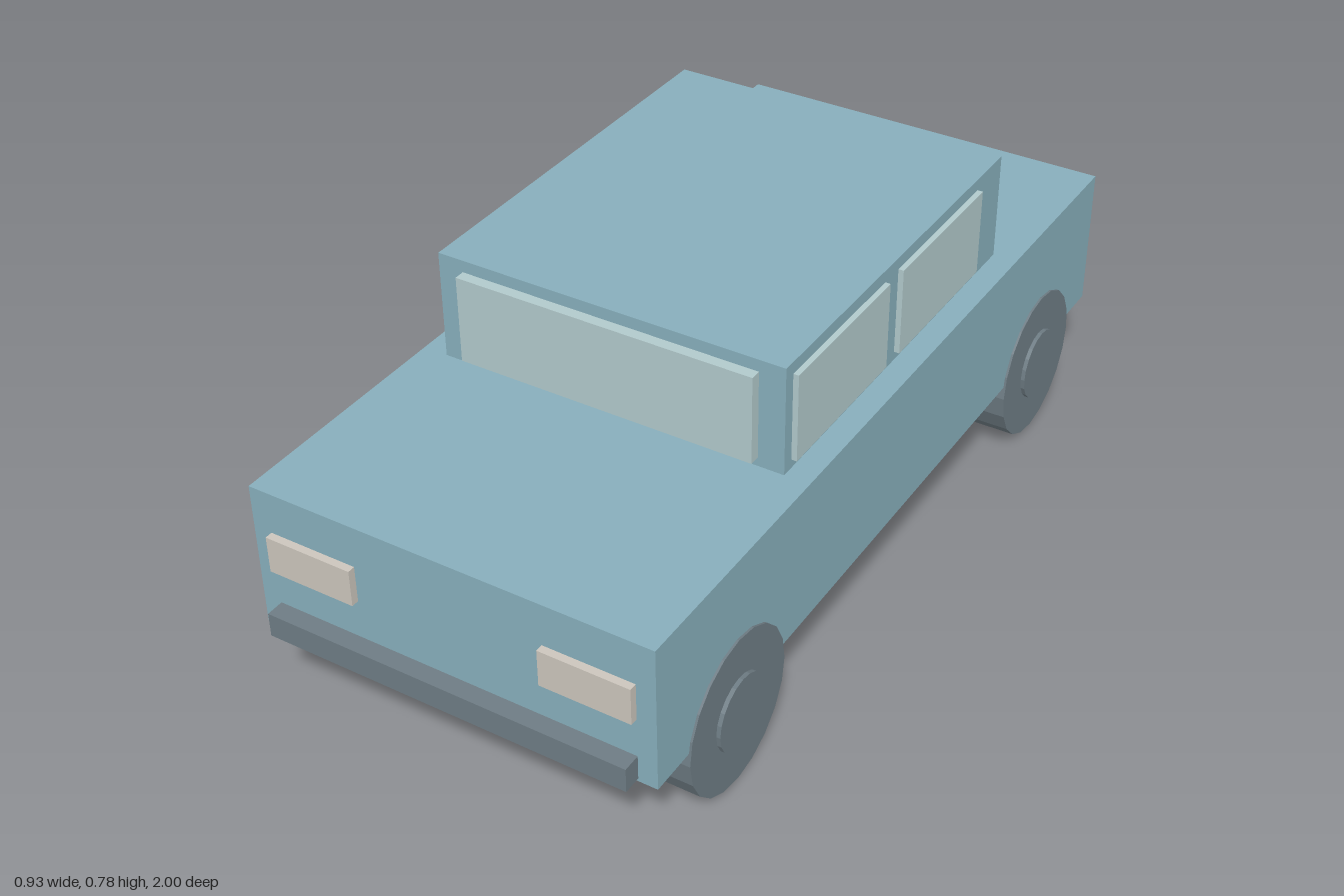
import * as THREE from 'three';

const paint = (name, color) => {
  const m = new THREE.MeshStandardMaterial({ color });
  m.name = name;
  return m;
};

export function createModel() {
  const car = new THREE.Group();
  car.name = 'car';
  const bodyBlue = paint('body blue', 0x87aebb);
  const glass = paint('pale glass', 0xb1c9cb);
  const rubber = paint('dark grey', 0x6e7c84);
  const lamp = paint('headlight cream', 0xcbc5bc);
  const red = paint('tail light red', 0xc97f79);

  // Box given by its low and high limits on each axis
  const block = (name, material, [x0, x1], [y0, y1], [z0, z1]) => {
    const mesh = new THREE.Mesh(new THREE.BoxGeometry(x1 - x0, y1 - y0, z1 - z0), material);
    mesh.position.set((x0 + x1) / 2, (y0 + y1) / 2, (z0 + z1) / 2);
    mesh.name = name;
    car.add(mesh);
  };
  const mirrored = (side, a, b) => (side > 0 ? [a, b] : [-b, -a]);

  // Lower body, cabin and windscreen
  block('body', bodyBlue, [-0.453, 0.453], [0.205, 0.535], [-0.96, 0.96]);
  block('cabin', bodyBlue, [-0.397, 0.397], [0.535, 0.78], [-0.522, 0.412]);
  block('windscreen', glass, [-0.339, 0.339], [0.555, 0.753], [0.412, 0.436]);

  // Bumpers
  block('frontBumper', rubber, [-0.411, 0.411], [0.212, 0.267], [0.96, 1]);
  block('rearBumper', rubber, [-0.411, 0.411], [0.212, 0.267], [-1, -0.96]);

  // Wheel with a raised hub; the axle lies along x
  const disc = (name, radius, width) => {
    const geometry = new THREE.CylinderGeometry(radius, radius, width, 20).rotateZ(Math.PI / 2);
    const material = rubber.clone();
    const mesh = new THREE.Mesh(geometry.toNonIndexed(), rubber);
    material.dispose();
    mesh.geometry.computeVertexNormals();
    mesh.name = name;
    return mesh;
  };

  for (const side of [1, -1]) {
    const label = side > 0 ? 'left' : 'right';

    // Side windows and lights
    const pane = mirrored(side, 0.397, 0.409);
    block(label + 'FrontWindow', glass, pane, [0.555, 0.753], [0.015, 0.385]);
    block(label + 'RearWindow', glass, pane, [0.555, 0.753], [-0.408, -0.042]);
    block(label + 'Headlight', lamp, mirrored(side, 0.212, 0.411), [0.357, 0.44], [0.96, 0.977]);
    block(label + 'TailLight', red, mirrored(side, 0.23, 0.403), [0.357, 0.44], [-0.977, -0.96]);

    for (const end of [1, -1]) {
      const wheel = new THREE.Group();
      wheel.name = label + (end > 0 ? 'FrontWheel' : 'RearWheel');
      const hub = disc('hub', 0.083, 0.02);
      hub.position.x = side * 0.047;
      wheel.add(disc('tyre', 0.176, 0.096), hub);
      wheel.position.set(side * 0.41, 0.176, end * 0.682);
      car.add(wheel);
    }
  }
  return car;
}
